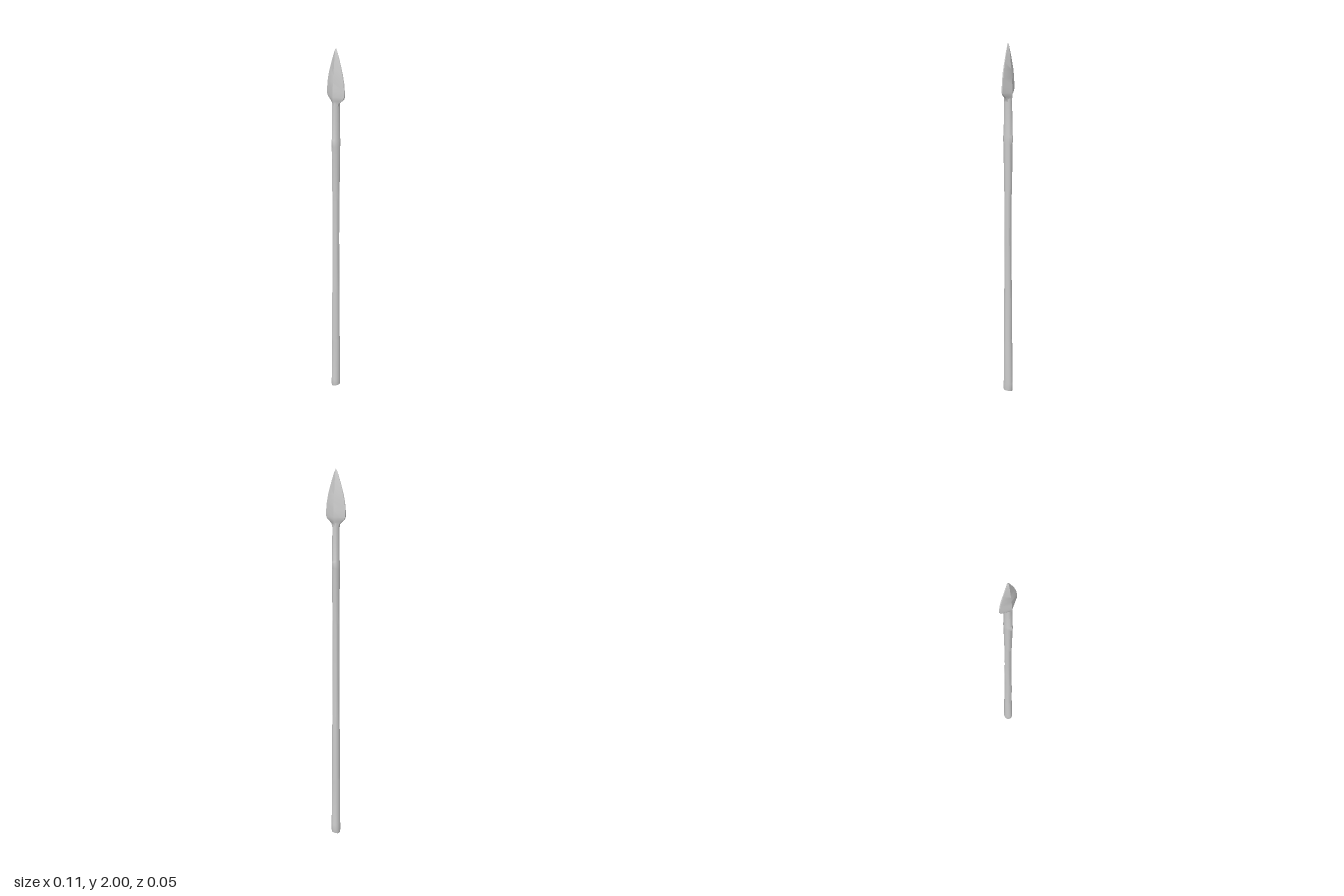
import * as THREE from 'three';
import { toCreasedNormals } from 'three/addons/utils/BufferGeometryUtils.js';

const material = new THREE.MeshStandardMaterial({ color: 0xcccccc });

// Skin a stack of rings; each ring is a list of [x, y, z] running from +x towards +z.
function loft(name, rings, crease) {
  const n = rings[0].length;
  const pos = rings.flat(2);
  const index = [];
  for (let i = 0; i < rings.length - 1; i++) {
    for (let j = 0; j < n; j++) {
      const a = i * n + j, b = i * n + (j + 1) % n;
      index.push(a, a + n, b + n, a, b + n, b);
    }
  }
  // Flat fans close both ends
  const top = (rings.length - 1) * n;
  for (let j = 1; j < n - 1; j++) {
    index.push(0, j, j + 1, top, top + j + 1, top + j);
  }
  const geometry = new THREE.BufferGeometry();
  geometry.setAttribute('position', new THREE.Float32BufferAttribute(pos, 3));
  geometry.setIndex(index);
  const mesh = new THREE.Mesh(toCreasedNormals(geometry, crease), material);
  mesh.name = name;
  return mesh;
}

// Oval shaft ring; slant tips the ring so the +x side sits higher
function ovalRing([y, rx, rz, slant = 0]) {
  return Array.from({ length: 12 }, (_, j) => {
    const a = (j / 12) * Math.PI * 2;
    return [Math.cos(a) * rx, y + slant * Math.cos(a), Math.sin(a) * rz];
  });
}

// Diamond blade ring: ridge front and back, narrow blunt edges at the sides
function bladeRing([y, w, d, e]) {
  return [[w, y, e], [0, y, d], [-w, y, e], [-w, y, -e], [0, y, -d], [w, y, -e]];
}

export function createModel() {
  const spear = new THREE.Group();
  spear.name = 'spear';

  // Shaft: height, half width, half depth, slant
  const shaft = [
    [0.007, 0.022, 0.025, 0.006], [0.018, 0.023, 0.027, 0.004], [0.055, 0.023, 0.027],
    [0.065, 0.023, 0.025], [0.31, 0.022, 0.024], [0.33, 0.02, 0.024],
    [0.6, 0.02, 0.023], [0.66, 0.019, 0.021], [0.95, 0.018, 0.018],
    [1.18, 0.018, 0.019], [1.24, 0.018, 0.022], [1.48, 0.019, 0.025],
    [1.49, 0.019, 0.027], [1.52, 0.019, 0.027], [1.53, 0.018, 0.024],
    [1.69, 0.018, 0.022], [1.74, 0.018, 0.021],
  ];
  spear.add(loft('shaft', shaft.map(ovalRing), 0.7));

  // Blade: height, half width, ridge depth, edge thickness
  const blade = [
    [1.705, 0.019, 0.021, 0.008], [1.72, 0.022, 0.024, 0.006], [1.733, 0.035, 0.026, 0.005],
    [1.745, 0.05, 0.027, 0.004], [1.757, 0.056, 0.027, 0.004], [1.79, 0.057, 0.025, 0.003],
    [1.83, 0.053, 0.022, 0.003], [1.87, 0.045, 0.019, 0.003], [1.91, 0.034, 0.015, 0.002],
    [1.95, 0.021, 0.011, 0.002], [1.98, 0.011, 0.007, 0.001], [1.995, 0.004, 0.004, 0.001],
    [2, 0.001, 0.001, 0.0005],
  ];
  spear.add(loft('spearhead', blade.map(bladeRing), 0.7));

  return spear;
}
